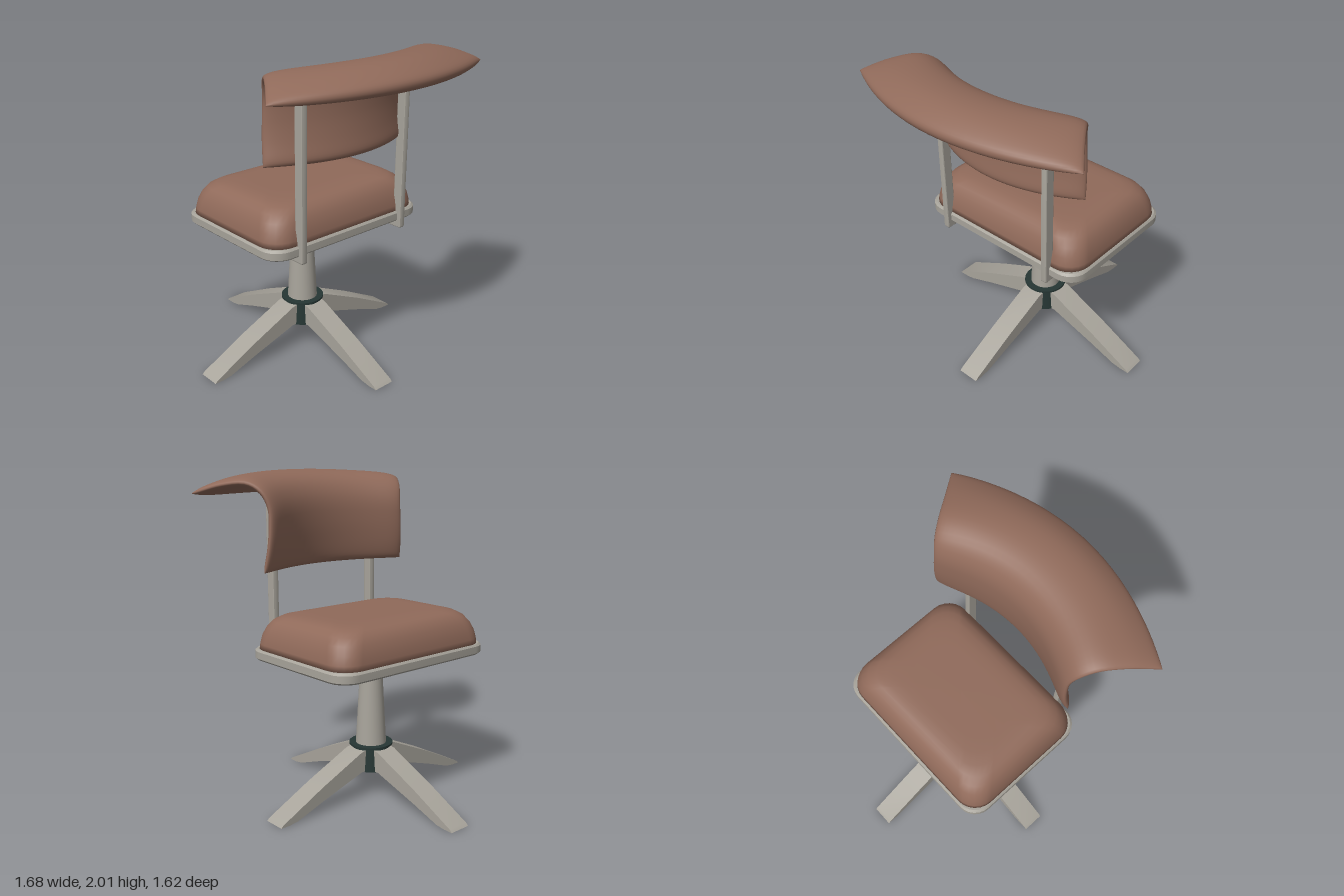
import * as THREE from 'three';
import { mergeVertices, toCreasedNormals } from 'three/addons/utils/BufferGeometryUtils.js';

const metal = new THREE.MeshStandardMaterial({ name: 'warm grey metal', color: 0xa8a49b });
const leather = new THREE.MeshStandardMaterial({ name: 'brown leather', color: 0x906a5a });
const dark = new THREE.MeshStandardMaterial({ name: 'dark hub', color: 0x263634 });

const COLUMN_X = -0.08;
const SEAT_X = -0.065;

function part(name, geometry, material, x = 0, y = 0, z = 0) {
  const mesh = new THREE.Mesh(geometry, material);
  mesh.name = name;
  mesh.position.set(x, y, z);
  return mesh;
}

function buildGeometry(positions, index) {
  const g = new THREE.BufferGeometry();
  g.setAttribute('position', new THREE.Float32BufferAttribute(positions, 3));
  g.setIndex(index);
  return g;
}

// Stacks rounded rectangles, each given as [inset, height], and caps both ends
function loftRoundedRect(hx, hz, r, rings) {
  const steps = 6, n = 4 * (steps + 1), pos = [], idx = [];
  for (const [inset, y] of rings) {
    for (let c = 0; c < 4; c++) {
      const sx = c === 0 || c === 3 ? 1 : -1, sz = c < 2 ? 1 : -1;
      for (let s = 0; s <= steps; s++) {
        const a = (c + s / steps) * Math.PI / 2;
        pos.push(sx * (hx - inset - r) + r * Math.cos(a), y, sz * (hz - inset - r) + r * Math.sin(a));
      }
    }
  }
  for (let k = 0; k < rings.length - 1; k++) {
    for (let i = 0; i < n; i++) {
      const a = k * n + i, b = k * n + (i + 1) % n;
      idx.push(a, a + n, b, b, a + n, b + n);
    }
  }
  const last = (rings.length - 1) * n, bottom = rings.length * n;
  pos.push(0, rings[0][1], 0, 0, rings[rings.length - 1][1], 0);
  for (let i = 0; i < n; i++) {
    const j = (i + 1) % n;
    idx.push(bottom, i, j, bottom + 1, last + j, last + i);
  }
  return buildGeometry(pos, idx);
}

// Padded shell: middle and end profiles blended across the width, thickened along the normal
function backrestGeometry() {
  const curve = pts => new THREE.CatmullRomCurve3(pts.map(p => new THREE.Vector3(...p)));
  const middle = curve([[0.415, 1.42, 0], [0.395, 1.55, 0], [0.385, 1.7, 0], [0.398, 1.83, 0],
    [0.45, 1.915, 0], [0.55, 1.955, 0], [0.69, 1.955, 0], [0.835, 1.885, 0]]);
  const end = curve([[0.245, 1.42, 0.555], [0.22, 1.55, 0.54], [0.212, 1.68, 0.53], [0.22, 1.8, 0.53],
    [0.255, 1.89, 0.56], [0.33, 1.94, 0.61], [0.46, 1.93, 0.7], [0.605, 1.88, 0.81]]);
  const surface = (u, v) => {
    const a = middle.getPoint(v), b = end.getPoint(v);
    const p = a.clone().lerp(b, u * u);
    p.z = b.z * u;
    return p;
  };
  const NU = 32, NV = 40, pos = [], idx = [], e = 0.004;
  const ease = t => Math.sin((t - 0.5) * Math.PI);
  for (const side of [1, -1]) {
    const base = pos.length / 3;
    for (let i = 0; i <= NU; i++) {
      for (let j = 0; j <= NV; j++) {
        const u = ease(i / NU), w = ease(j / NV), v = (w + 1) / 2;
        const p = surface(u, v);
        const du = surface(u + e, v).sub(surface(u - e, v));
        const dv = surface(u, Math.min(1, v + e)).sub(surface(u, Math.max(0, v - e)));
        const normal = du.cross(dv).normalize();
        const edge = Math.sqrt(Math.max(0, (1 - Math.abs(u) ** 12) * (1 - Math.abs(w) ** 24)));
        p.addScaledVector(normal, side * edge * (0.047 - 0.015 * u * u));
        pos.push(p.x, p.y, p.z);
        if (i < NU && j < NV) {
          const a = base + i * (NV + 1) + j, b = a + NV + 1;
          if (side > 0) idx.push(a, b, b + 1, a, b + 1, a + 1);
          else idx.push(a, b + 1, b, a, a + 1, b + 1);
        }
      }
    }
  }
  const g = mergeVertices(buildGeometry(pos, idx), 1e-4);
  g.computeVertexNormals();
  return g;
}

// Sloping foot, side profile extruded across its width
function legGeometry() {
  const shape = new THREE.Shape([[0.08, 0.17], [0.14, 0.175], [0.45, 0.075], [0.64, 0.008], [0.7, 0],
    [0.762, 0], [0.745, 0.016], [0.45, 0.165], [0.14, 0.305], [0.08, 0.315]]
    .map(p => new THREE.Vector2(...p)));
  const g = new THREE.ExtrudeGeometry(shape, { depth: 0.14, bevelEnabled: false });
  g.translate(0, 0, -0.07);
  return toCreasedNormals(g, 0.5);
}

// Upright with rounded top, plus the rail running under the seat
function supportGeometry() {
  const s = new THREE.Shape();
  s.moveTo(-0.33, 0.85);
  s.lineTo(0.4, 0.85);
  s.quadraticCurveTo(0.412, 0.85, 0.412, 0.862);
  s.lineTo(0.412, 1.85);
  s.absarc(0.38, 1.85, 0.032, 0, Math.PI, false);
  s.lineTo(0.348, 0.892);
  s.lineTo(-0.33, 0.892);
  const g = new THREE.ExtrudeGeometry(s, {
    depth: 0.024, bevelThickness: 0.008, bevelSize: 0.006, bevelOffset: -0.006, bevelSegments: 2, curveSegments: 8,
  });
  g.translate(0, 0, -0.012);
  return toCreasedNormals(g, 0.5);
}

export function createModel() {
  const model = new THREE.Group();
  model.name = 'swivelChair';

  // Base
  const leg = legGeometry();
  for (let i = 0; i < 4; i++) {
    const foot = part('baseLeg', leg, metal, COLUMN_X);
    foot.rotation.y = i * Math.PI / 2;
    model.add(foot);
  }
  model.add(part('hub', new THREE.CylinderGeometry(0.125, 0.135, 0.155, 32), dark, COLUMN_X, 0.2475));
  model.add(part('hubRim', new THREE.CylinderGeometry(0.137, 0.137, 0.012, 32), dark, COLUMN_X, 0.324));
  model.add(part('column', new THREE.CylinderGeometry(0.065, 0.096, 0.57, 32), metal, COLUMN_X, 0.61));

  // Seat
  const tray = loftRoundedRect(0.45, 0.6, 0.12, [[0.012, 0.89], [0, 0.902], [0, 0.945], [0.01, 0.957]]);
  model.add(part('seatTray', toCreasedNormals(tray, 0.6), metal, SEAT_X));
  const cushion = loftRoundedRect(0.437, 0.587, 0.14, [[0, 0.95], [0.004, 0.99], [0.014, 1.04], [0.034, 1.09],
    [0.062, 1.13], [0.1, 1.155], [0.145, 1.167], [0.2, 1.171], [0.26, 1.172]]);
  cushion.computeVertexNormals();
  model.add(part('seatCushion', cushion, leather, SEAT_X));

  // Backrest and its two supports
  const support = supportGeometry();
  for (const side of [-1, 1]) model.add(part('backSupport', support, metal, 0, 0, side * 0.4));
  model.add(part('backrest', backrestGeometry(), leather));

  return model;
}
